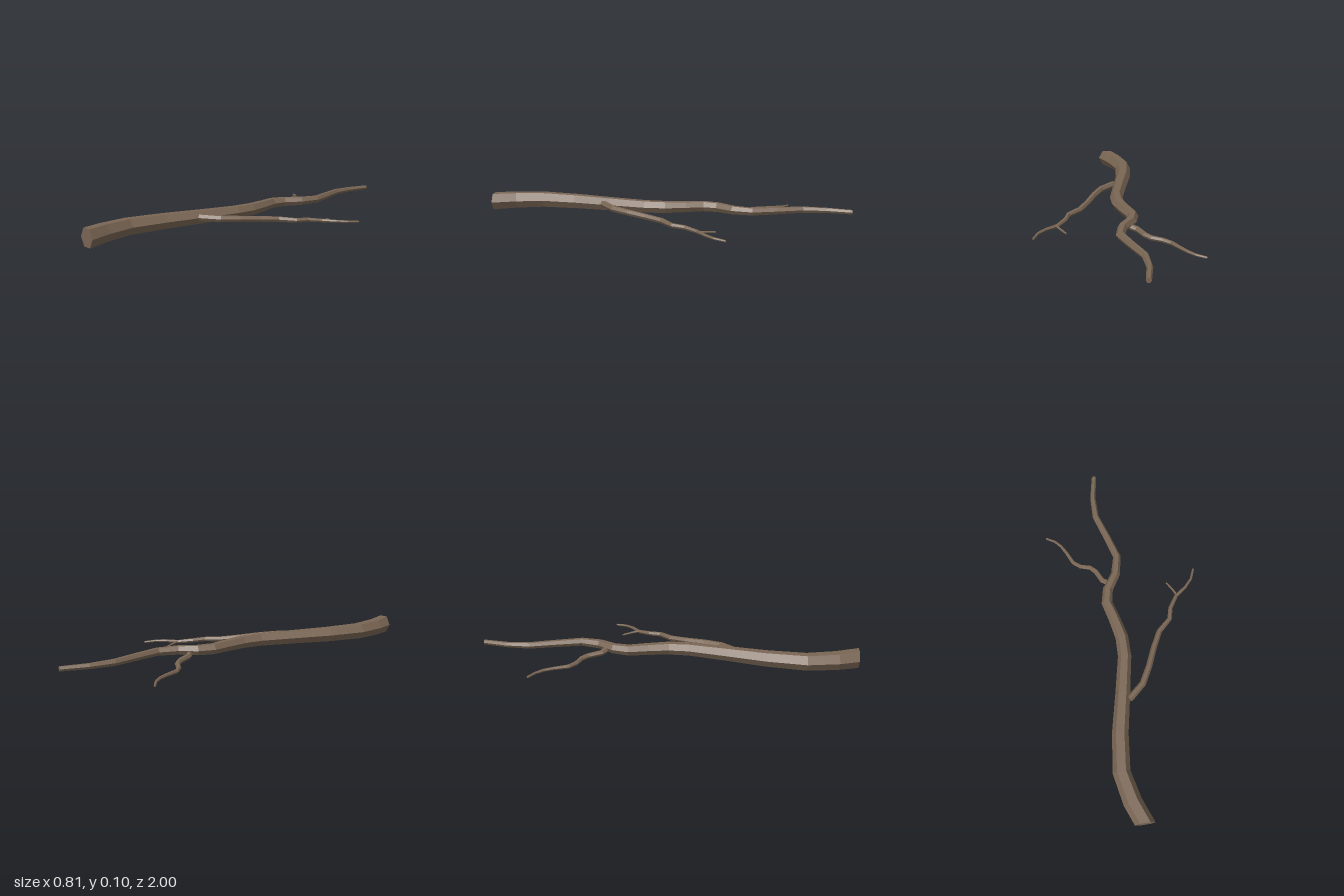
import * as THREE from 'three';

const SIDES = 6;
const Y = new THREE.Vector3(0, 1, 0);
const bark = new THREE.MeshStandardMaterial({ color: 0x7a6654, flatShading: true, roughness: 1 });

// Tapered six-sided limb; each point is [x, y, z, radius].
// squareEnds cuts both ends straight across the z axis.
function limb(name, points, squareEnds = false) {
  const centres = points.map(([x, y, z]) => new THREE.Vector3(x, y, z));
  const last = points.length - 1;
  const positions = [];
  const index = [];

  centres.forEach((c, i) => {
    const before = c.clone().sub(centres[Math.max(i - 1, 0)]).normalize();
    const after = centres[Math.min(i + 1, last)].clone().sub(c).normalize();
    const t = before.add(after).normalize();
    if (squareEnds && (i === 0 || i === last)) t.set(0, 0, -1);
    const side = new THREE.Vector3().crossVectors(Y, t).normalize();
    const up = new THREE.Vector3().crossVectors(t, side);
    for (let k = 0; k < SIDES; k++) {
      const a = (k / SIDES) * Math.PI * 2;
      const p = c.clone()
        .addScaledVector(side, Math.cos(a) * points[i][3])
        .addScaledVector(up, Math.sin(a) * points[i][3]);
      positions.push(p.x, p.y, p.z);
    }
  });

  // Bark faces between neighbouring rings
  for (let i = 0; i < last; i++) {
    for (let k = 0; k < SIDES; k++) {
      const a = i * SIDES + k;
      const b = i * SIDES + (k + 1) % SIDES;
      index.push(a, b, b + SIDES, a, b + SIDES, a + SIDES);
    }
  }
  // End cuts
  const tip = last * SIDES;
  for (let k = 1; k < SIDES - 1; k++) {
    index.push(0, k + 1, k, tip, tip + k, tip + k + 1);
  }

  const geometry = new THREE.BufferGeometry();
  geometry.setAttribute('position', new THREE.Float32BufferAttribute(positions, 3));
  geometry.setIndex(index);
  const flat = geometry.toNonIndexed();
  flat.computeVertexNormals();
  const mesh = new THREE.Mesh(flat, bark);
  mesh.name = name;
  return mesh;
}

export function createModel() {
  const group = new THREE.Group();
  group.name = 'fallenBranch';

  // Main stem, thick end at the front
  group.add(limb('mainStem', [
    [-0.095, 0.058, 1.0, 0.052],
    [-0.14, 0.058, 0.885, 0.049],
    [-0.173, 0.058, 0.73, 0.046],
    [-0.15, 0.058, 0.53, 0.043],
    [-0.105, 0.059, 0.32, 0.039],
    [-0.065, 0.06, 0.12, 0.036],
    [-0.064, 0.06, 0.01, 0.035],
    [-0.088, 0.06, -0.1, 0.032],
    [-0.115, 0.06, -0.2, 0.03],
    [-0.098, 0.06, -0.28, 0.028],
    [-0.043, 0.06, -0.365, 0.025],
    [-0.02, 0.06, -0.47, 0.022],
    [-0.058, 0.06, -0.6, 0.02],
    [-0.103, 0.06, -0.74, 0.018],
    [-0.103, 0.06, -0.865, 0.015],
    [-0.078, 0.06, -1.0, 0.013],
  ], true));

  // Long side branch on the left
  group.add(limb('leftBranch', [
    [-0.075, 0.064, 0.36, 0.019],
    [0.008, 0.058, 0.285, 0.018],
    [0.055, 0.052, 0.196, 0.017],
    [0.1, 0.043, 0.09, 0.016],
    [0.145, 0.036, 0.0, 0.015],
    [0.213, 0.03, -0.065, 0.013],
    [0.23, 0.027, -0.13, 0.012],
    [0.275, 0.019, -0.2, 0.01],
    [0.335, 0.018, -0.245, 0.008],
    [0.375, 0.015, -0.29, 0.007],
    [0.399, 0.01, -0.35, 0.006],
  ]));

  // Small twig forking off the left branch
  group.add(limb('leftTwig', [
    [0.28, 0.019, -0.2, 0.007],
    [0.262, 0.015, -0.24, 0.006],
    [0.234, 0.009, -0.29, 0.005],
  ]));

  // Thin crooked branch on the right
  group.add(limb('rightBranch', [
    [-0.085, 0.048, -0.32, 0.016],
    [-0.12, 0.04, -0.345, 0.015],
    [-0.15, 0.033, -0.41, 0.014],
    [-0.178, 0.028, -0.44, 0.013],
    [-0.23, 0.022, -0.458, 0.012],
    [-0.268, 0.018, -0.49, 0.011],
    [-0.3, 0.018, -0.56, 0.009],
    [-0.325, 0.017, -0.605, 0.008],
    [-0.355, 0.014, -0.64, 0.007],
    [-0.403, 0.01, -0.67, 0.006],
  ]));

  return group;
}
